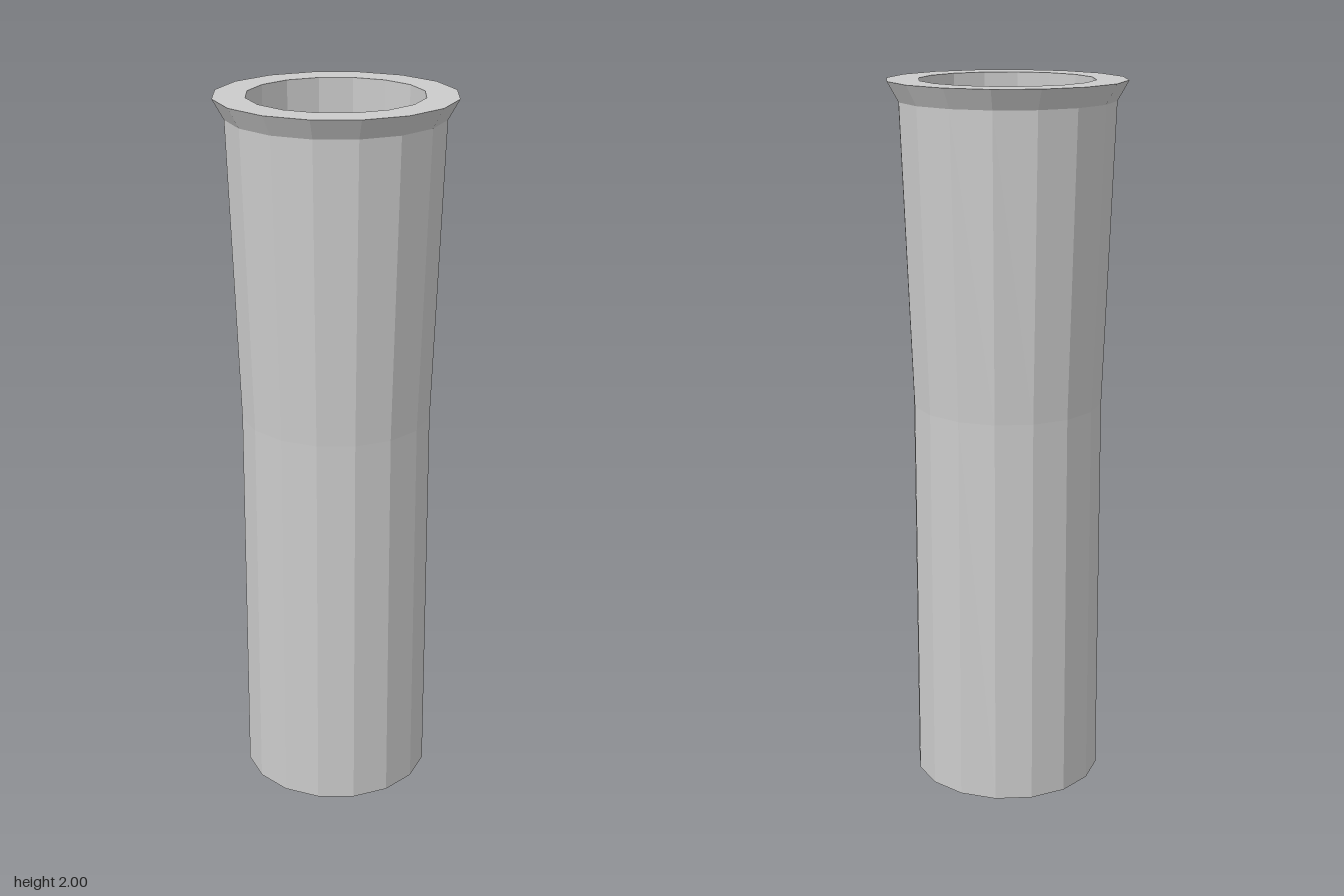
import * as THREE from 'three';

const SIDES = 16;

export function createModel() {
  const group = new THREE.Group();
  group.name = 'flaredTube';
  const material = new THREE.MeshStandardMaterial({
    color: 0xcccccc, flatShading: true, side: THREE.DoubleSide,
  });

  // Revolves a [radius, height] profile into a faceted ring of walls
  const addTurned = (name, profile) => {
    const points = profile.map(([r, y]) => new THREE.Vector2(r, y));
    const mesh = new THREE.Mesh(new THREE.LatheGeometry(points, SIDES), material);
    mesh.name = name;
    group.add(mesh);
  };

  // Straight lower wall that widens gently above the middle
  addTurned('outerWall', [[0.266, 0], [0.266, 1.11], [0.297, 1.945]]);
  // Flared lip with a flat top
  addTurned('rim', [[0.297, 1.945], [0.328, 2], [0.24, 2]]);
  // Bore, meeting the outer wall in a thin edge at the open bottom
  addTurned('innerWall', [[0.24, 2], [0.266, 0]]);

  return group;
}
